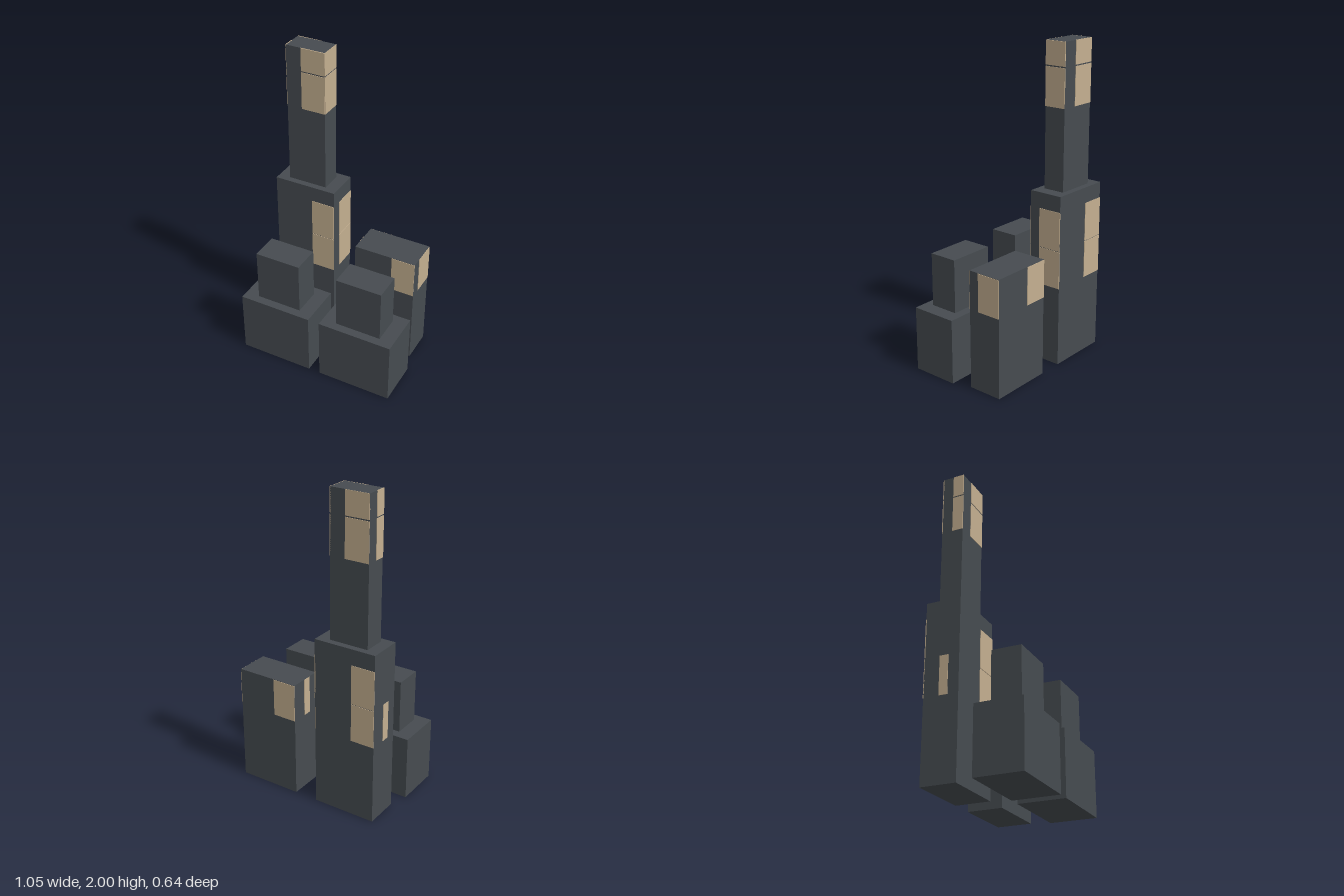
import * as THREE from 'three';

const wall = new THREE.MeshStandardMaterial({ color: 0x464b50 });
wall.name = 'slateWall';
const glow = new THREE.MeshStandardMaterial({ color: 0xc4af90 });
glow.name = 'beigeWindow';

const T = 0.003; // how far a window plate sits in and out of its wall

// Box given by its extents along each axis
function block(name, [x0, x1], [y0, y1], [z0, z1], material = wall) {
  const mesh = new THREE.Mesh(new THREE.BoxGeometry(x1 - x0, y1 - y0, z1 - z0), material);
  mesh.position.set((x0 + x1) / 2, (y0 + y1) / 2, (z0 + z1) / 2);
  mesh.name = name;
  return mesh;
}

// Thin window panes on the four walls; each wall lists its horizontal span
function addWindows(group, [x0, x1], [z0, z1], rows, spans) {
  for (const row of rows) {
    group.add(block('frontWindow', spans.front, row, [z1 - T, z1 + T], glow));
    group.add(block('backWindow', spans.back, row, [z0 - T, z0 + T], glow));
    group.add(block('leftWindow', [x1 - T, x1 + T], row, spans.left, glow));
  }
  group.add(...spans.rightRows.map((row) => block('rightWindow', [x0 - T, x0 + T], row, spans.right, glow)));
}

export function createModel() {
  const model = new THREE.Group();
  model.name = 'towerCluster';

  // Two stepped front blocks
  for (const s of [-1, 1]) {
    const g = new THREE.Group();
    g.name = s < 0 ? 'frontRightBuilding' : 'frontLeftBuilding';
    const span = (a, b) => (s < 0 ? [-b, -a] : [a, b]);
    g.add(block('base', span(0.038, 0.523), [0, 0.413], [0.017, 0.315]));
    g.add(block('upperBlock', span(0.13, 0.43), [0.413, 0.752], [0.075, 0.26]));
    model.add(g);
  }

  // Two back blocks of different heights, windows hugging the right end of each wall
  const z = [-0.318, -0.097];
  const w = 0.155;
  const lowRow = [0.51, 0.75];
  const back = [
    { name: 'tallBuilding', x: [-0.485, -0.076], top: 1.1, rows: [lowRow, [0.754, 1.0]] },
    { name: 'shortBuilding', x: [0.076, 0.485], top: 0.752, rows: [lowRow] },
  ];
  for (const { name, x, top, rows } of back) {
    const g = new THREE.Group();
    g.name = name;
    g.add(block('body', x, [0, top], z));
    addWindows(g, x, z, rows, {
      front: [x[1] - w, x[1]],
      back: [x[0], x[0] + w],
      left: [z[0], z[0] + w],
      right: [-0.22, -0.165],
      rightRows: [lowRow],
    });
    model.add(g);
  }

  // Slim tower on the tall building
  const tower = new THREE.Group();
  tower.name = 'tower';
  const tx = [-0.41, -0.156];
  const tz = [-0.277, -0.137];
  const rows = [[1.61, 1.848], [1.856, 2.0]];
  tower.add(block('shaft', tx, [1.1, 2.0], tz));
  addWindows(tower, tx, tz, rows, {
    front: [tx[1] - w, tx[1]],
    back: [tx[0], tx[0] + w],
    left: tz,
    right: [-0.207, tz[1]],
    rightRows: rows,
  });
  model.add(tower);

  return model;
}
